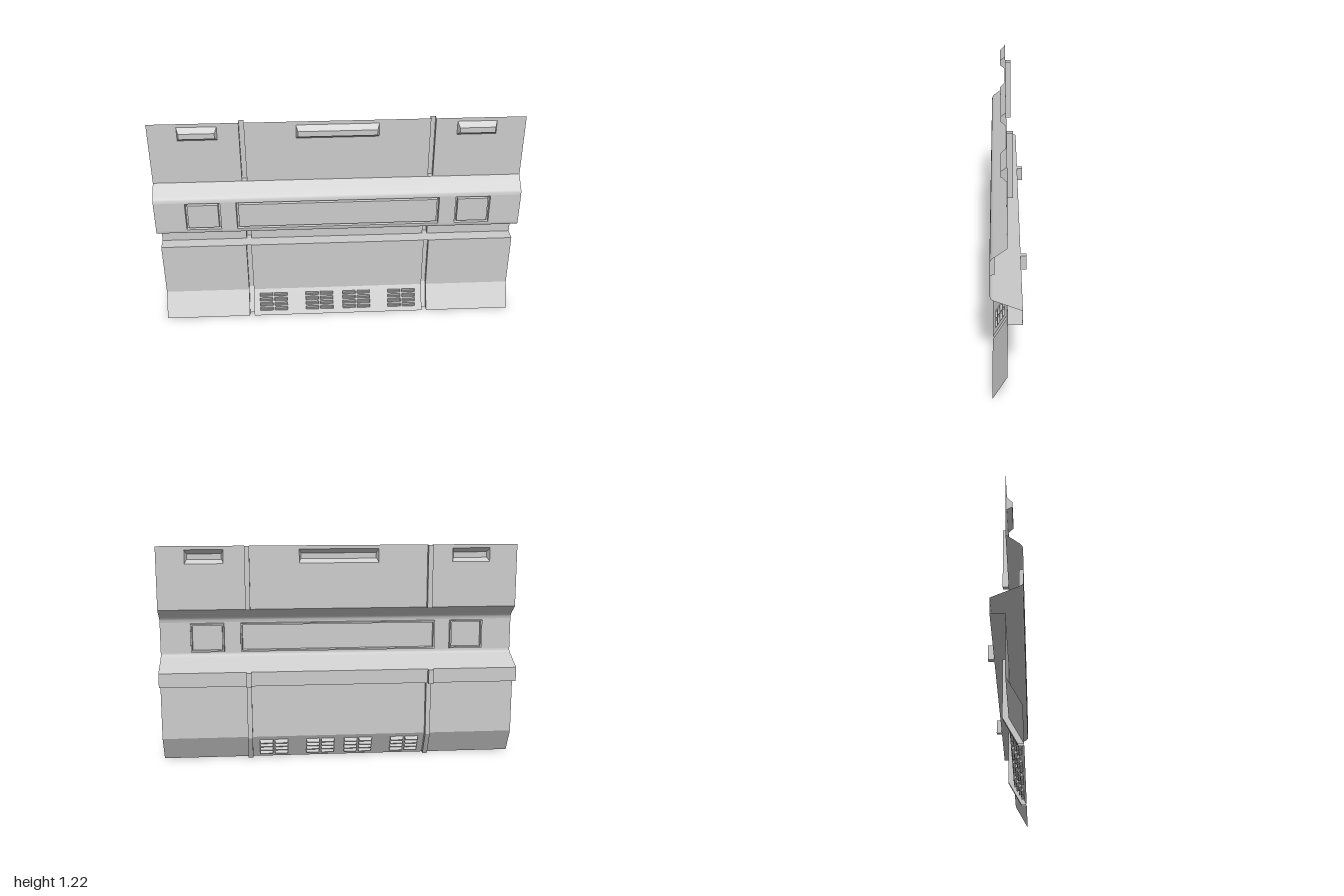
import * as THREE from 'three';

const smoothMat = new THREE.MeshStandardMaterial({ color: 0xcccccc, side: THREE.DoubleSide });
const flatMat = new THREE.MeshStandardMaterial({ color: 0xcccccc, side: THREE.DoubleSide, flatShading: true });

const GX0 = 0.493, GX1 = 0.52, DEPTH = 0.031;   // vertical grooves
const FRONT = 0.01, BULGE = 0.092, BACK = -0.062; // sheet levels in z
const KNEE = 0.137, FOOT = 0.085;               // lower bend and toe

// Skin a list of rows, each row a list of [x, y, z]
function skin(rows) {
  const n = rows[0].length, index = [];
  for (let r = 0; r < rows.length - 1; r++)
    for (let c = 0; c < n - 1; c++) {
      const a = r * n + c, b = a + 1, d = a + n, e = d + 1;
      index.push(a, d, b, b, d, e);
    }
  const g = new THREE.BufferGeometry();
  g.setAttribute('position', new THREE.Float32BufferAttribute(rows.flat(2), 3));
  g.setIndex(index);
  g.computeVertexNormals();
  return g;
}

function add(parent, name, geometry, mat = flatMat) {
  const m = new THREE.Mesh(geometry, mat);
  m.name = name;
  parent.add(m);
  return m;
}

// Closed rectangle outline [x0, y0, x1, y1] at depth z
const ring = ([x0, y0, x1, y1], z) =>
  [[x0, y0, z], [x1, y0, z], [x1, y1, z], [x0, y1, z], [x0, y0, z]];
const inset = ([x0, y0, x1, y1], d) => [x0 + d, y0 + d, x1 - d, y1 - d];

// Flat sheet with rectangular holes
function plate(rect, holes = []) {
  const corners = (r) => ring(r, 0).slice(0, 4).map(([x, y]) => new THREE.Vector2(x, y));
  const s = new THREE.Shape(corners(rect));
  for (const h of holes) s.holes.push(new THREE.Path(corners(h).reverse()));
  return new THREE.ShapeGeometry(s);
}

// Full-width bent sheet from [y, z] points
const bent = (points) => skin(points.map(([y, z]) => [[-1, y, z], [1, y, z]]));

// U-shaped channel following [y, z] points, with optional end caps
function groove(parent, path, side, capTop, capBottom) {
  const a = side * GX0, b = side * GX1;
  const rows = path.map(([y, z]) => [[a, y, z], [a, y, z - DEPTH], [b, y, z - DEPTH], [b, y, z]]);
  add(parent, 'groove', skin(rows));
  const cap = (r) => add(parent, 'grooveEnd', skin([[r[0], r[1]], [r[3], r[2]]]));
  if (capTop) cap(rows[0]);
  if (capBottom) cap(rows[rows.length - 1]);
}

export function createModel() {
  const model = new THREE.Group();
  model.name = 'wallPanel';
  const columns = [[-1, -GX1], [-GX0, GX0], [GX1, 1]];

  // Upper panels with hollow raised lamp housings
  const lamps = [[-0.845, -0.635], [-0.22, 0.22], [0.635, 0.845]];
  const upper = new THREE.Group();
  upper.name = 'upperPanels';
  model.add(upper);
  columns.forEach(([x0, x1], i) => {
    const hole = [lamps[i][0], 1.123, lamps[i][1], 1.2];
    add(upper, 'upperPanel', plate([x0, 0.87, x1, 1.22], [hole])).position.z = FRONT;
    const mid = [hole[0] + 0.008, 1.142, hole[2] - 0.008, 1.18];
    const tip = [hole[0] + 0.011, 1.144, hole[2] - 0.011, 1.175];
    add(upper, 'lampHousing', skin([ring(hole, FRONT), ring(mid, 0.032), ring(tip, 0.039)]));
    add(upper, 'lampFace', plate(tip)).position.z = 0.039;
  });

  // Bulging band: rounded shoulders and a flat face
  add(model, 'upperShoulder', bent([[0.87, FRONT], [0.82, 0.075], [0.81, 0.085], [0.8, 0.09], [0.787, BULGE]]), smoothMat);
  add(model, 'lowerShoulder', bent([[0.613, BULGE], [0.602, 0.091], [0.595, 0.086], [0.588, 0.075], [0.53, BACK]]), smoothMat);
  const frames = [[-0.832, 0.618, -0.642, 0.782], [-0.556, 0.618, 0.552, 0.782], [0.642, 0.618, 0.832, 0.782]];
  add(model, 'bandFace', plate([-1, 0.613, 1, 0.787], frames)).position.z = BULGE;

  // Grooved outlines around the band's inset plates
  for (const f of frames) {
    const inner = inset(f, 0.012), z = BULGE - 0.022;
    add(model, 'frameGroove', skin([
      ring(f, BULGE), ring(inset(f, 0.002), z), ring(inset(f, 0.01), z), ring(inner, BULGE)]));
    add(model, 'insetPlate', plate(inner)).position.z = BULGE;
  }

  // Recessed strip and the ledge below it
  for (const [x0, x1] of columns)
    add(model, 'recessedStrip', plate([x0, 0.45, x1, 0.53])).position.z = BACK;
  add(model, 'ledge', bent([[0.45, BACK], [0.45, FRONT]]));

  // Vent slots on the sloping skirt, in slope coordinates
  const tilt = Math.atan2(FOOT - FRONT, KNEE), slope = Math.hypot(FOOT - FRONT, KNEE);
  const slots = [];
  for (const x of [-0.378, -0.11, 0.107, 0.373])
    for (const s of [-1, 1])
      for (let row = 0; row < 4; row++) {
        const cx = x + s * 0.0425, v = (0.033 + row * 0.0245) / Math.cos(tilt);
        slots.push([cx - 0.038, v - 0.01, cx + 0.038, v + 0.01]);
      }

  // Lower panels and skirt
  const skirt = new THREE.Group();
  skirt.name = 'skirt';
  skirt.position.z = FOOT;
  skirt.rotation.x = -tilt;
  model.add(skirt);
  columns.forEach(([x0, x1], i) => {
    add(model, 'lowerPanel', plate([x0, KNEE, x1, 0.45])).position.z = FRONT;
    add(skirt, 'skirtPanel', plate([x0, 0, x1, slope], i === 1 ? slots : []));
  });

  // Louvres pressed backward behind each slot
  for (const s of slots) {
    const deep = [s[0] + 0.003, s[1] + 0.002, s[2] - 0.003, s[1] + 0.007];
    add(skirt, 'louvre', skin([ring(s, 0), ring(deep, -0.016)]));
    add(skirt, 'louvreBack', plate(deep)).position.z = -0.016;
  }

  // Vertical grooves, mirrored
  for (const side of [-1, 1]) {
    groove(model, [[1.22, FRONT], [0.87, FRONT]], side, false, true);
    groove(model, [[0.53, BACK], [0.45, BACK]], side, true, true);
    groove(model, [[0.45, FRONT], [KNEE, FRONT], [0, FOOT]], side, true, false);
  }
  return model;
}
